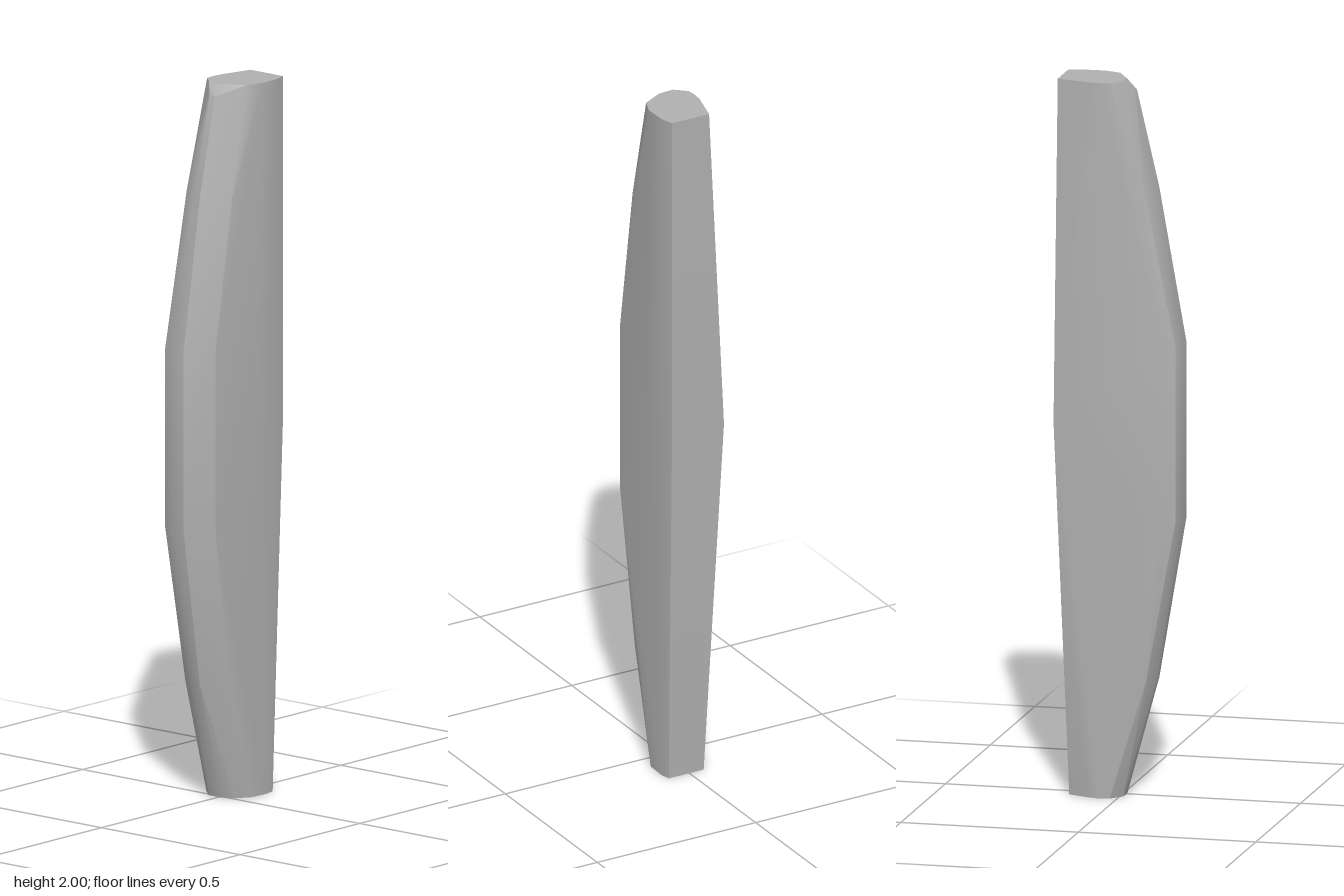
import * as THREE from 'three';
import { ConvexGeometry } from 'three/addons/geometries/ConvexGeometry.js';
import { toCreasedNormals } from 'three/addons/utils/BufferGeometryUtils.js';

// Horizontal cross-sections: height, then [x, z] corners
const sections = [
  { y: 0, ring: [[0.14, 0.065], [0.11, 0.072], [0.05, 0.07], [0.01, 0.045], [-0.01, 0.01],
    [-0.01, -0.035], [0.02, -0.07], [0.05, -0.077], [0.08, -0.07], [0.14, -0.045]] },
  { y: 0.33, ring: [[-0.1, 0.01], [-0.1, -0.02], [-0.08, -0.06], [-0.04, 0.068]] },
  { y: 0.78, ring: [[-0.175, 0.015], [-0.175, -0.03], [-0.163, -0.062], [-0.13, -0.075], [-0.11, 0.074]] },
  { y: 1.05, ring: [[0.173, 0.074], [0.173, -0.09], [0.07, 0.083]] },
  { y: 1.27, ring: [[-0.175, 0.015], [-0.175, -0.03], [-0.163, -0.062], [-0.13, -0.075], [-0.11, 0.074]] },
  { y: 1.7, ring: [[-0.1, 0.01], [-0.1, -0.01], [-0.075, -0.06], [-0.04, 0.075]] },
  { y: 1.97, ring: [[-0.037, 0.01], [-0.037, -0.01]] },
  { y: 2, ring: [[0.173, 0.074], [0.135, 0.085], [0.07, 0.087], [0.025, 0.07], [-0.008, 0.01],
    [-0.01, -0.035], [0.02, -0.068], [0.05, -0.071], [0.08, -0.068], [0.173, -0.043]] },
];

export function createModel() {
  const group = new THREE.Group();
  group.name = 'taperedBar';
  const grey = new THREE.MeshStandardMaterial({ color: 0xb0b0b0 });
  grey.name = 'grey';

  // Bowed bar: convex skin around the cross-sections, with soft facets and sharp end caps
  const points = sections.flatMap(({ y, ring }) => ring.map(([x, z]) => new THREE.Vector3(x, y, z)));
  const bar = new THREE.Mesh(toCreasedNormals(new ConvexGeometry(points), Math.PI / 6), grey);
  bar.name = 'bowedBar';
  group.add(bar);
  return group;
}
